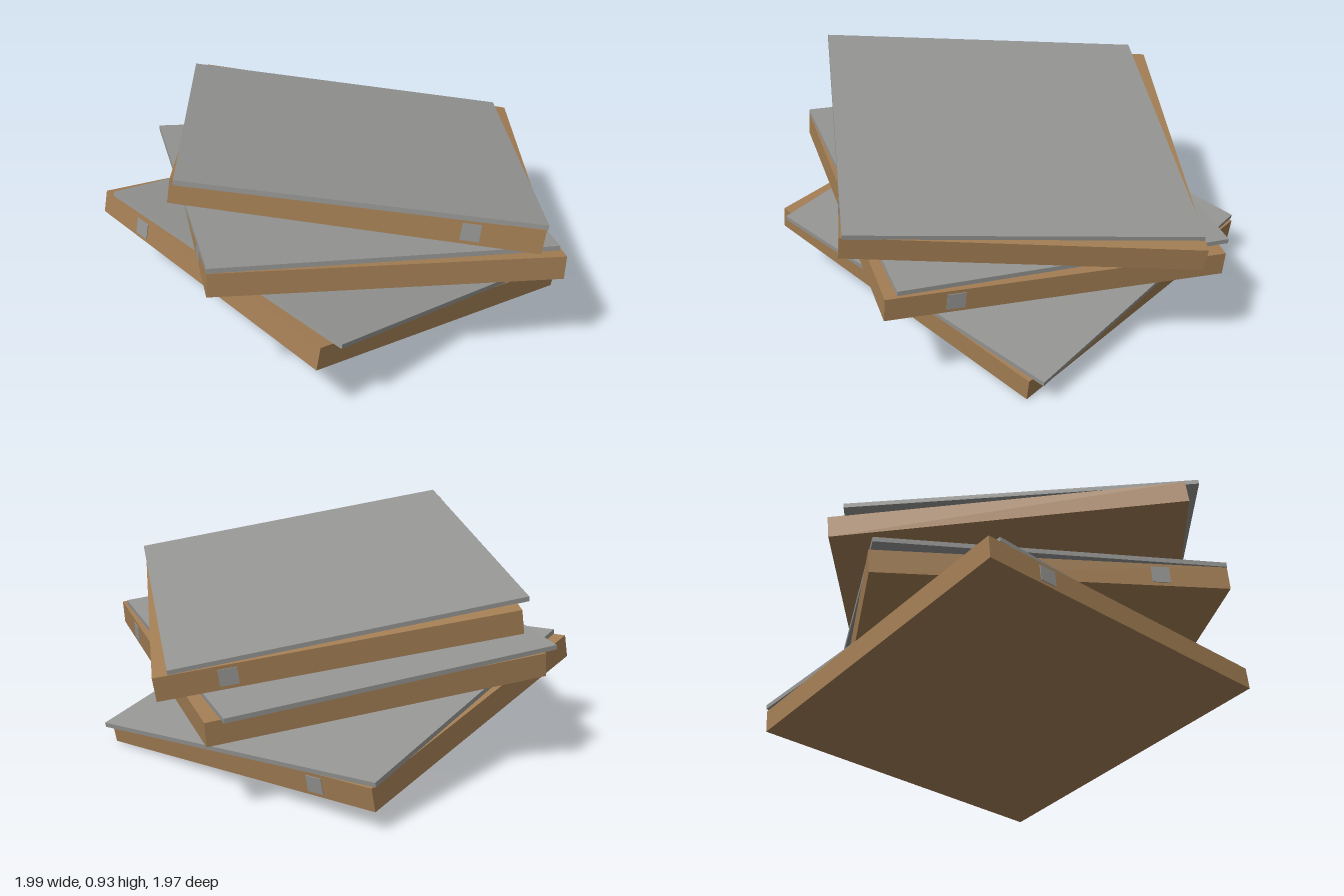
import * as THREE from 'three';

const wood = new THREE.MeshStandardMaterial({ color: 0xa37e54 });
wood.name = 'wood brown';
const metal = new THREE.MeshStandardMaterial({ color: 0x959593 });
metal.name = 'plain grey';

const SIZE = 1.425, HEIGHT = 0.1, LID = 1.416, LID_HEIGHT = 0.02;
const UP = new THREE.Vector3(0, 1, 0);

// Each box: slope of its top along x and z, then the centre of the top face and the yaw of body and lid
const boxes = [
  { name: 'lowerBox', slope: [-0.041, 0.182], body: [-0.086, 0.268, 0.067], bodyYaw: 7.2,
    lid: [-0.072, 0.283, 0.035], lidYaw: 9.9, clasp: { axis: 'z', along: -0.43 } },
  { name: 'middleBox', slope: [0.023, 0.097], body: [-0.003, 0.498, 0.02], bodyYaw: -23.2,
    lid: [-0.035, 0.521, 0.04], lidYaw: -21.1, clasp: { axis: 'z', along: 0.43 } },
  { name: 'upperBox', slope: [0, 0.192], body: [-0.003, 0.725, -0.011], bodyYaw: -35.8,
    lid: [0.01, 0.75, 0.02], lidYaw: -33.1, clasp: { axis: 'x', along: -0.43 } },
];

// A group whose origin is the middle of a tilted top face
function tiltedGroup(name, position, slope, yaw) {
  const group = new THREE.Group();
  group.name = name;
  group.position.set(...position);
  const normal = new THREE.Vector3(-slope[0], 1, -slope[1]).normalize();
  const turn = new THREE.Quaternion().setFromAxisAngle(UP, THREE.MathUtils.degToRad(yaw));
  group.quaternion.setFromUnitVectors(UP, normal).multiply(turn);
  return group;
}

function block(name, w, h, d, material, x = 0, y = 0, z = 0) {
  const mesh = new THREE.Mesh(new THREE.BoxGeometry(w, h, d), material);
  mesh.name = name;
  mesh.position.set(x, y, z);
  return mesh;
}

export function createModel() {
  const model = new THREE.Group();
  model.name = 'boxStack';
  for (const b of boxes) {
    const box = new THREE.Group();
    box.name = b.name;

    // Wooden body
    const body = tiltedGroup('body', b.body, b.slope, b.bodyYaw);
    body.add(block('woodenBlock', SIZE, HEIGHT, SIZE, wood, 0, -HEIGHT / 2, 0));

    // Small plates on two opposite sides
    for (const side of [-1, 1]) {
      const out = side * SIZE / 2;
      body.add(b.clasp.axis === 'z'
        ? block('sidePlate', 0.075, 0.07, 0.006, metal, b.clasp.along, -HEIGHT / 2, out)
        : block('sidePlate', 0.006, 0.07, 0.075, metal, out, -HEIGHT / 2, b.clasp.along));
    }

    // Thin lid, slightly turned on the body
    const lid = tiltedGroup('lid', b.lid, b.slope, b.lidYaw);
    lid.add(block('lidSheet', LID, LID_HEIGHT, LID, metal, 0, -LID_HEIGHT / 2, 0));

    box.add(body, lid);
    model.add(box);
  }
  return model;
}
